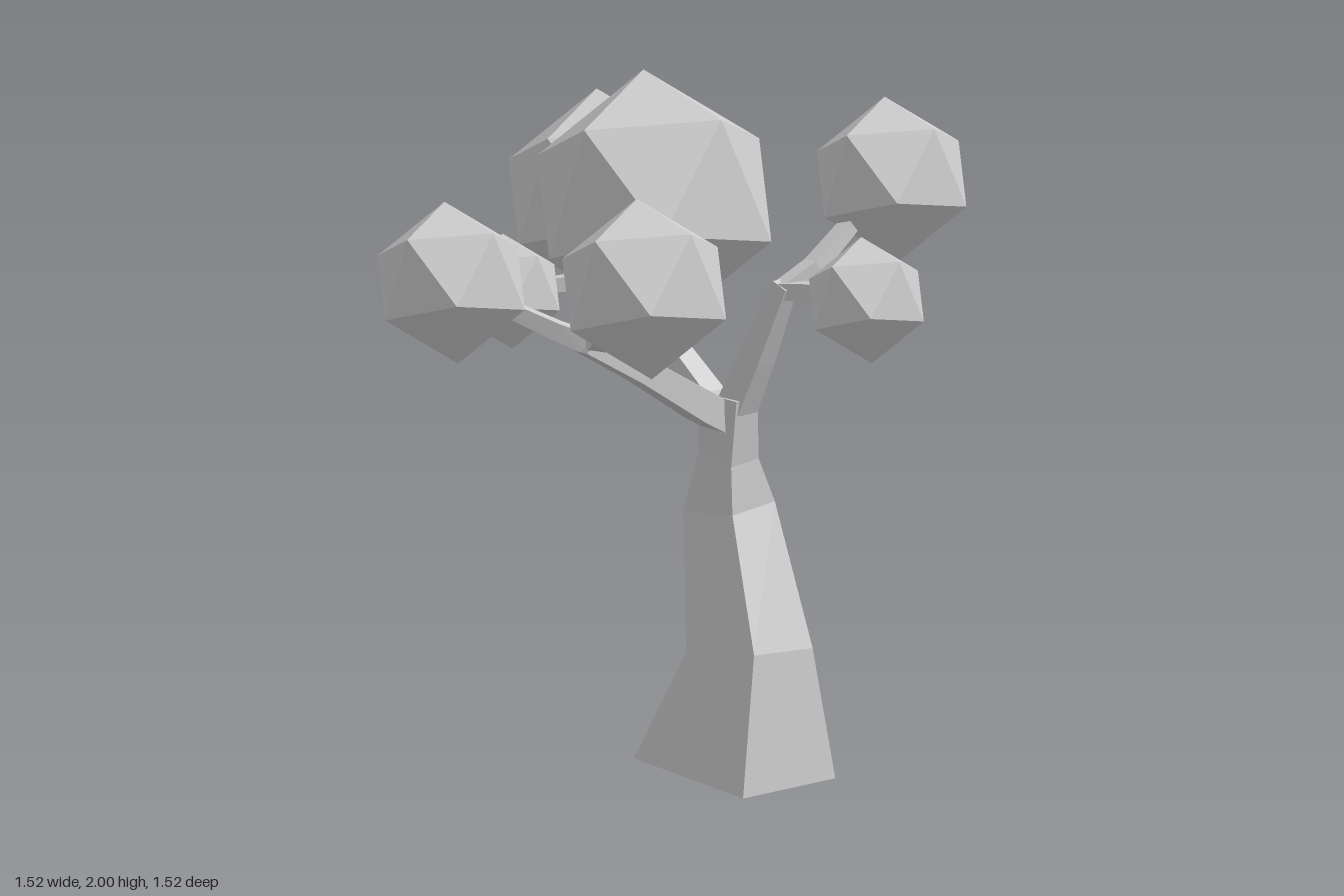
import * as THREE from 'three';

const material = new THREE.MeshStandardMaterial({ color: 0xcccccc, flatShading: true });
const V = (x, y, z) => new THREE.Vector3(x, y, z);

// Skin four-cornered rings into a closed faceted solid
function loft(rings) {
  const pos = [];
  const quad = (a, b, c, d) => [a, b, c, a, c, d].forEach((p) => pos.push(p.x, p.y, p.z));
  for (let i = 0; i < rings.length - 1; i++) {
    for (let k = 0; k < 4; k++) {
      const n = (k + 1) % 4;
      quad(rings[i][k], rings[i][n], rings[i + 1][n], rings[i + 1][k]);
    }
  }
  quad(...rings[rings.length - 1]);
  quad(...[...rings[0]].reverse());
  const geo = new THREE.BufferGeometry();
  geo.setAttribute('position', new THREE.Float32BufferAttribute(pos, 3));
  geo.computeVertexNormals();
  return geo;
}

// Square limb along a path of [x, y, z, half width]
function limb(path) {
  const pts = path.map((p) => V(p[0], p[1], p[2]));
  return loft(pts.map((p, i) => {
    const d = pts[Math.min(i + 1, pts.length - 1)].clone().sub(pts[Math.max(i - 1, 0)]).normalize();
    const s = V(0, 1, 0).cross(d).normalize();
    const t = d.clone().cross(s);
    return [[-1, -1], [1, -1], [1, 1], [-1, 1]].map(([a, b]) =>
      p.clone().addScaledVector(s, a * path[i][3]).addScaledVector(t, b * path[i][3]));
  }));
}

export function createModel() {
  const tree = new THREE.Group();
  tree.name = 'tree';
  const add = (name, geo) => {
    const mesh = new THREE.Mesh(geo, material);
    mesh.name = name;
    tree.add(mesh);
    return mesh;
  };

  // Trunk: rings of front-left, front-right, back-right, back-left as drawn from above
  const trunk = [
    [[-0.02, 0, 0.35], [0.375, 0, 0.325], [0.355, 0.065, -0.07], [-0.045, 0.065, -0.045]],
    [[0.05, 0.39, 0.325], [0.3, 0.375, 0.31], [0.285, 0.36, 0.06], [0.04, 0.37, 0.075]],
    [[0.12, 0.755, 0.175], [0.3, 0.77, 0.165], [0.295, 0.755, -0.02], [0.11, 0.745, -0.005]],
    [[0.12, 0.89, 0.17], [0.235, 0.9, 0.165], [0.235, 0.93, 0.045], [0.115, 0.92, 0.05]],
    [[0.11, 1.08, 0.2], [0.2, 1.08, 0.195], [0.2, 1.09, 0.05], [0.11, 1.09, 0.05]],
  ];
  add('trunk', loft(trunk.map((ring) => ring.map((p) => V(...p)))));

  // Three main branches, each splitting into twigs that reach the foliage
  const limbs = {
    frontBranch: [[0.16, 1.03, 0.14, 0.043], [0.165, 1.2, 0.225, 0.037], [0.17, 1.42, 0.33, 0.026]],
    frontLeftTwig: [[0.17, 1.4, 0.32, 0.026], [0.27, 1.46, 0.345, 0.024], [0.5, 1.64, 0.365, 0.018]],
    frontTwig: [[0.17, 1.4, 0.32, 0.025], [0.19, 1.41, 0.41, 0.022], [0.215, 1.4, 0.56, 0.015]],
    backBranch: [[0.16, 1.0, 0.11, 0.042], [0.16, 1.15, -0.06, 0.036], [0.165, 1.36, -0.31, 0.03], [0.26, 1.5, -0.45, 0.02]],
    backTwig: [[0.165, 1.34, -0.29, 0.026], [0.08, 1.35, -0.37, 0.023], [-0.08, 1.34, -0.46, 0.015]],
    sideBranch: [[0.15, 1.02, 0.115, 0.044], [0.07, 1.06, 0.105, 0.042], [-0.15, 1.19, 0.08, 0.036], [-0.34, 1.29, 0.05, 0.03]],
    sideBackTwig: [[-0.31, 1.28, 0.055, 0.028], [-0.38, 1.32, -0.02, 0.025], [-0.53, 1.43, -0.22, 0.018]],
    sideFrontTwig: [[-0.31, 1.28, 0.055, 0.028], [-0.36, 1.33, 0.13, 0.025], [-0.44, 1.48, 0.36, 0.018]],
    crownTwig: [[-0.22, 1.23, 0.07, 0.028], [-0.18, 1.36, 0.065, 0.024], [-0.13, 1.5, 0.06, 0.018]],
  };
  for (const [name, path] of Object.entries(limbs)) add(name, limb(path));

  // Foliage: twenty-sided balls sharing one tilt
  const up = V(0.633, 0.774, -0.022).normalize();
  const side = V(0.662, -0.536, 0.525);
  side.addScaledVector(up, -side.dot(up)).normalize();
  const tilt = new THREE.Matrix4().makeBasis(side, up, side.clone().cross(up));
  const ball = new THREE.IcosahedronGeometry(1, 0).applyMatrix4(tilt);
  const foliage = {
    crownFoliage: [-0.07, 1.66, 0.057, 0.363],
    backFoliage: [0.305, 1.547, -0.49, 0.3],
    smallBackFoliage: [-0.108, 1.335, -0.47, 0.162],
    sideBackFoliage: [-0.557, 1.448, -0.255, 0.228],
    sideFrontFoliage: [-0.455, 1.5, 0.388, 0.254],
    frontLeftFoliage: [0.555, 1.67, 0.368, 0.232],
    smallFrontFoliage: [0.215, 1.405, 0.598, 0.178],
  };
  for (const [name, [x, y, z, r]] of Object.entries(foliage)) {
    const mesh = add(name, ball);
    mesh.position.set(x, y, z);
    mesh.scale.setScalar(r);
  }
  return tree;
}
